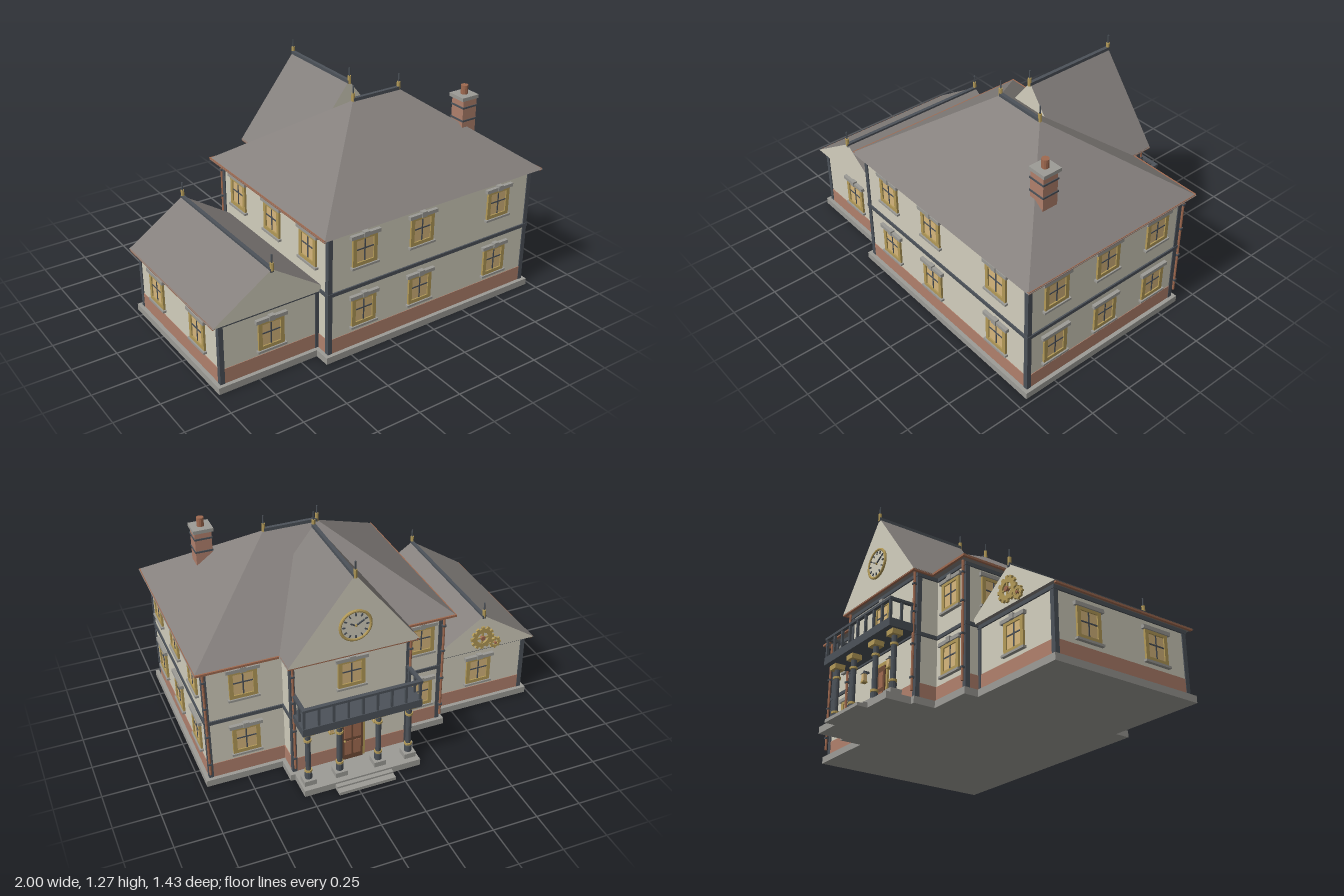
import * as THREE from 'three';
import { ConvexGeometry } from 'three/addons/geometries/ConvexGeometry.js';

const mat = (color) => new THREE.MeshStandardMaterial({ color, flatShading: true });
const wall = mat(0xd2cebd), brick = mat(0xb0806c), stone = mat(0x9c9b96), slate = mat(0x4c5259),
  roof = mat(0x85807d), brass = mat(0xb39a58), glass = mat(0xd6b67c), copper = mat(0xa06a50), wood = mat(0x6e4a36);

export function createModel() {
  const model = new THREE.Group();
  model.name = 'manorHouse';

  const add = (parent, name, geo, m, x, y, z) => {
    const mesh = new THREE.Mesh(geo, m);
    mesh.name = name;
    mesh.position.set(x, y, z);
    parent.add(mesh);
    return mesh;
  };
  // box standing on height y
  const box = (parent, name, m, w, h, d, x, y, z) =>
    add(parent, name, new THREE.BoxGeometry(w, h, d), m, x, y + h / 2, z);
  // cylinder standing on height y
  const cyl = (parent, name, m, r, h, x, y, z, sides = 12) =>
    add(parent, name, new THREE.CylinderGeometry(r, r, h, sides), m, x, y + h / 2, z);
  const group = (name, parent = model) => {
    const g = new THREE.Group();
    g.name = name;
    parent.add(g);
    return g;
  };

  // one storeyed block: stone base, brick skirt, walls, bands and corner posts
  function block(name, x0, x1, z0, z1, h, bands) {
    const g = group(name), w = x1 - x0, d = z1 - z0, x = (x0 + x1) / 2, z = (z0 + z1) / 2;
    box(g, 'foundation', stone, w + 0.05, 0.038, d + 0.05, x, 0, z);
    box(g, 'brickSkirt', brick, w + 0.006, 0.085, d + 0.006, x, 0.038, z);
    box(g, 'walls', wall, w, h - 0.04, d, x, 0.04, z);
    for (const y of bands) box(g, 'band', slate, w + 0.016, 0.02, d + 0.016, x, y, z);
    for (const px of [x0, x1]) for (const pz of [z0, z1])
      box(g, 'cornerPost', slate, 0.026, h - 0.04, 0.026, px + Math.sign(x - px) * 0.008, 0.038, pz + Math.sign(z - pz) * 0.008);
    return g;
  }
  block('mainBlock', -0.38, 0.95, -0.365, 0.665, 0.735, [0.38, 0.712]);
  block('entranceBlock', -0.13, 0.53, -0.49, 0, 0.735, [0.38, 0.712]);
  block('sideWing', -0.955, -0.38, -0.285, 0.575, 0.39, [0.37]);

  // hipped main roof
  const pt = (x, y, z) => new THREE.Vector3(x, y, z);
  add(model, 'mainRoof', new ConvexGeometry([
    pt(-0.435, 0.735, -0.42), pt(1, 0.735, -0.42), pt(1, 0.735, 0.71), pt(-0.435, 0.735, 0.71),
    pt(0.13, 1.145, 0.145), pt(0.43, 1.145, 0.145)]), roof, 0, 0, 0);
  box(model, 'mainRidge', slate, 0.3, 0.018, 0.02, 0.28, 1.14, 0.145);

  // gabled roof: triangular prism with plastered ends
  function gable(name, x, half, y0, y1, z0, z1) {
    const s = new THREE.Shape([new THREE.Vector2(-half, 0), new THREE.Vector2(half, 0), new THREE.Vector2(0, y1 - y0)]);
    const geo = new THREE.ExtrudeGeometry(s, { depth: z1 - z0, bevelEnabled: false });
    add(model, name, geo, [wall, roof], x, y0, z0);
    box(model, name + 'Ridge', slate, 0.02, 0.02, z1 - z0 + 0.01, x, y1 - 0.015, (z0 + z1) / 2);
  }
  gable('entranceRoof', 0.2, 0.36, 0.735, 1.195, -0.54, 0.01);
  gable('wingRoof', -0.665, 0.335, 0.39, 0.612, -0.315, 0.6);

  // copper gutters under the eaves
  const gutter = (w, d, x, y, z) => box(model, 'gutter', copper, w, 0.012, d, x, y, z);
  gutter(0.28, 0.014, -0.295, 0.728, -0.415);
  gutter(0.435, 0.014, 0.778, 0.728, -0.415);
  for (const x of [-0.427, 0.99]) gutter(0.014, 1.12, x, 0.728, 0.145);
  for (const x of [-0.15, 0.55]) gutter(0.014, 0.13, x, 0.728, -0.475);
  gutter(0.71, 0.014, 0.2, 0.728, -0.532);
  gutter(0.014, 0.9, -0.99, 0.381, 0.143);

  // downpipes with dark brackets
  for (const [x, z] of [[0.95, -0.386], [-0.38, -0.386], [0.525, -0.51], [-0.125, -0.51]]) {
    const g = group('downpipe');
    cyl(g, 'pipe', copper, 0.007, 0.66, x, 0.075, z, 8);
    for (const y of [0.14, 0.32, 0.5, 0.66]) box(g, 'bracket', slate, 0.02, 0.01, 0.02, x, y, z);
  }

  // finials at the ridge ends
  for (const [x, y, z] of [[0.13, 1.14, 0.145], [0.43, 1.14, 0.145], [0.2, 1.18, 0.012], [0.2, 1.18, -0.54],
    [-0.665, 0.605, 0.6], [-0.665, 0.605, -0.312]]) {
    const g = group('finial');
    cyl(g, 'finialBase', brass, 0.01, 0.045, x, y, z, 8);
    cyl(g, 'finialSpike', slate, 0.0045, 0.045, x, y + 0.045, z, 6);
  }

  // window: local z points out of the wall
  function windowAt(x, y, z, turn, keystone) {
    const g = group('window');
    g.position.set(x, y, z);
    g.rotation.y = turn;
    box(g, 'pane', glass, 0.13, 0.16, 0.01, 0, 0.015, 0);
    for (const s of [-1, 1]) {
      box(g, 'frameSide', brass, 0.022, 0.17, 0.024, s * 0.064, 0.01, 0);
      box(g, 'frameRail', brass, 0.15, 0.02, 0.024, 0, 0.085 + s * 0.073, 0);
    }
    box(g, 'mullion', slate, 0.007, 0.14, 0.016, 0, 0.022, 0);
    box(g, 'transom', slate, 0.11, 0.007, 0.016, 0, 0.1, 0);
    box(g, 'lintel', stone, 0.18, 0.02, 0.04, 0, 0.174, 0);
    box(g, 'sill', stone, 0.17, 0.012, 0.04, 0, 0, 0);
    if (keystone) box(g, 'keystone', stone, 0.032, 0.03, 0.05, 0, 0.173, 0);
  }
  const lower = 0.15, upper = 0.5;
  for (const y of [lower, upper]) {
    for (const x of [-0.165, 0.2, 0.72]) windowAt(x, y, 0.665, 0, true);
    for (const x of [-0.255, 0.74]) windowAt(x, y, -0.365, Math.PI, true);
    for (const z of [-0.195, 0.15, 0.49]) {
      windowAt(0.95, y, z, Math.PI / 2, false);
      if (y === upper) windowAt(-0.38, y, z, -Math.PI / 2, false);
    }
  }
  windowAt(0.2, upper, -0.49, Math.PI, true);
  windowAt(-0.665, lower - 0.005, 0.575, 0, true);
  windowAt(-0.665, lower - 0.005, -0.285, Math.PI, true);
  for (const z of [-0.08, 0.36]) windowAt(-0.955, lower - 0.005, z, -Math.PI / 2, false);

  // chimney
  const chimney = group('chimney');
  box(chimney, 'stack', brick, 0.092, 0.24, 0.092, 0.71, 0.87, 0.365);
  for (const y of [0.985, 1.06]) box(chimney, 'stackBand', slate, 0.1, 0.01, 0.1, 0.71, y, 0.365);
  box(chimney, 'cap', stone, 0.11, 0.02, 0.11, 0.71, 1.105, 0.36);
  cyl(chimney, 'pot', copper, 0.02, 0.05, 0.71, 1.125, 0.36);

  // porch: steps, columns and balcony
  const porch = group('porch');
  box(porch, 'landing', stone, 0.66, 0.038, 0.15, 0.2, 0, -0.585);
  box(porch, 'upperStep', stone, 0.32, 0.028, 0.03, 0.2, 0, -0.67);
  box(porch, 'lowerStep', stone, 0.32, 0.018, 0.06, 0.2, 0, -0.69);
  for (const dx of [-0.285, -0.11, 0.11, 0.285]) {
    const x = 0.2 + dx, z = -0.595, c = group('column', porch);
    box(c, 'plinth', stone, 0.066, 0.03, 0.066, x, 0.038, z);
    cyl(c, 'shaft', slate, 0.015, 0.3, x, 0.065, z);
    for (const y of [0.112, 0.31]) cyl(c, 'ring', brass, 0.021, 0.012, x, y, z);
    cyl(c, 'collar', slate, 0.02, 0.04, x, 0.066, z);
    box(c, 'capital', brass, 0.06, 0.028, 0.06, x, 0.362, z);
  }
  box(porch, 'balconyFloor', slate, 0.66, 0.045, 0.165, 0.2, 0.39, -0.5725);
  const rail = (w, d, x, z) => box(porch, 'handrail', slate, w, 0.014, d, x, 0.538, z);
  rail(0.66, 0.02, 0.2, -0.645);
  for (const s of [-1, 1]) {
    rail(0.02, 0.165, 0.2 + s * 0.32, -0.5725);
    for (const z of [-0.515, -0.58]) box(porch, 'baluster', slate, 0.012, 0.11, 0.012, 0.2 + s * 0.32, 0.43, z);
  }
  for (let i = 0; i <= 8; i++)
    box(porch, 'baluster', slate, 0.013, 0.11, 0.013, -0.12 + i * 0.08, 0.43, -0.645);

  // front door and lanterns
  const door = group('door');
  box(door, 'doorFrame', brass, 0.15, 0.29, 0.02, 0.2, 0.038, -0.49);
  box(door, 'doorLeaf', wood, 0.12, 0.265, 0.034, 0.2, 0.038, -0.49);
  for (const y of [0.07, 0.18]) for (const s of [-1, 1])
    box(door, 'doorPanel', copper, 0.04, 0.09, 0.04, 0.2 + s * 0.027, y, -0.49);
  add(door, 'doorKnob', new THREE.SphereGeometry(0.007, 8, 6), brass, 0.245, 0.165, -0.512);
  for (const s of [-1, 1]) {
    const l = group('lantern'), x = 0.2 + s * 0.125;
    box(l, 'lanternArm', slate, 0.008, 0.01, 0.04, x, 0.315, -0.505);
    box(l, 'lanternGlass', glass, 0.022, 0.045, 0.022, x, 0.262, -0.52);
    box(l, 'lanternFoot', brass, 0.028, 0.008, 0.028, x, 0.256, -0.52);
    add(l, 'lanternCap', new THREE.ConeGeometry(0.022, 0.018, 4), slate, x, 0.315, -0.52).rotation.y = Math.PI / 4;
  }

  // clock on the entrance gable
  const clock = group('clock');
  clock.position.set(0.2, 0.91, -0.541);
  clock.rotation.y = Math.PI;
  add(clock, 'dial', new THREE.CylinderGeometry(0.083, 0.083, 0.012, 32), wall, 0, 0, 0).rotation.x = Math.PI / 2;
  add(clock, 'rim', new THREE.TorusGeometry(0.083, 0.008, 8, 32), brass, 0, 0, 0.005);
  for (let i = 0; i < 12; i++) {
    const a = i * Math.PI / 6;
    add(clock, 'hourMark', new THREE.BoxGeometry(0.007, 0.016, 0.008), slate,
      Math.sin(a) * 0.064, Math.cos(a) * 0.064, 0.007).rotation.z = -a;
  }
  for (const [len, a] of [[0.034, -1.05], [0.052, 1.05]])
    add(clock, 'hand', new THREE.BoxGeometry(0.007, len, 0.006), slate,
      Math.sin(a) * len / 2, Math.cos(a) * len / 2, 0.009).rotation.z = -a;
  add(clock, 'hub', new THREE.SphereGeometry(0.008, 8, 6), brass, 0, 0, 0.008);

  // ornamental gears on the wing gable
  function gear(x, y, r, teeth) {
    const g = group('gear');
    g.position.set(x, y, -0.317);
    g.rotation.y = Math.PI;
    const ring = new THREE.Shape().absarc(0, 0, r * 0.84, 0, Math.PI * 2);
    ring.holes.push(new THREE.Path().absarc(0, 0, r * 0.5, 0, Math.PI * 2, true));
    add(g, 'gearRing', new THREE.ExtrudeGeometry(ring, { depth: 0.012, bevelEnabled: false }), brass, 0, 0, 0);
    for (let i = 0; i < teeth; i++) {
      const a = i * 2 * Math.PI / teeth;
      add(g, 'tooth', new THREE.BoxGeometry(r * 0.26, r * 0.26, 0.012), brass,
        Math.cos(a) * r * 0.88, Math.sin(a) * r * 0.88, 0.006).rotation.z = a;
    }
    for (let i = 0; i < 2; i++)
      add(g, 'spoke', new THREE.BoxGeometry(r * 1.1, r * 0.14, 0.008), brass, 0, 0, 0.006).rotation.z = i * Math.PI / 2;
    add(g, 'gearHub', new THREE.CylinderGeometry(r * 0.2, r * 0.2, 0.018, 12), copper, 0, 0, 0.009).rotation.x = Math.PI / 2;
  }
  gear(-0.66, 0.475, 0.07, 12);
  gear(-0.742, 0.425, 0.036, 8);

  return model;
}
